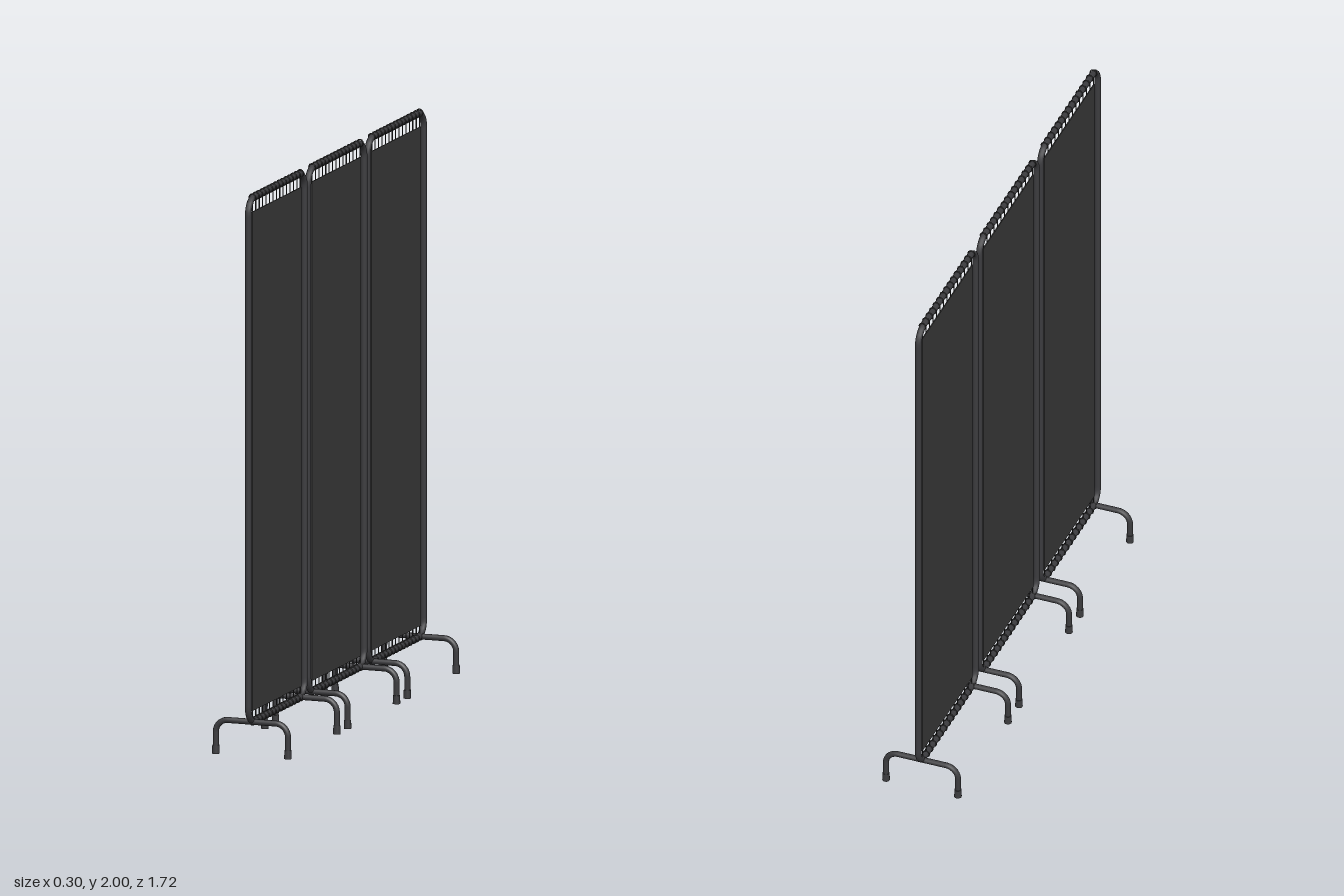
import * as THREE from 'three';

const TUBE = 0.0115;
const frameMat = new THREE.MeshStandardMaterial({ color: 0x3c3c3f });
const clothMat = new THREE.MeshStandardMaterial({ color: 0x3a3a3a });
const cordMat = new THREE.MeshStandardMaterial({ color: 0x303030 });

// Straight runs joined by rounded corners; points are [x, y, z]
function roundedPath(points, r) {
  const p = points.map((a) => new THREE.Vector3(...a));
  const path = new THREE.CurvePath();
  let last = p[0];
  for (let i = 1; i < p.length - 1; i++) {
    const a = p[i].clone().add(p[i - 1].clone().sub(p[i]).setLength(r));
    const b = p[i].clone().add(p[i + 1].clone().sub(p[i]).setLength(r));
    const k = 0.552; // circular-arc handle length
    path.add(new THREE.LineCurve3(last, a));
    path.add(new THREE.CubicBezierCurve3(a, a.clone().lerp(p[i], k), b.clone().lerp(p[i], k), b));
    last = b;
  }
  path.add(new THREE.LineCurve3(last, p[p.length - 1]));
  return path;
}

function add(parent, name, geometry, material, x = 0, y = 0, z = 0) {
  const mesh = new THREE.Mesh(geometry, material);
  mesh.name = name;
  mesh.position.set(x, y, z);
  parent.add(mesh);
  return mesh;
}

const BOTTOM = 0.122, TOP = 1.988, HALF = 0.272;
const CLOTH_BOTTOM = 0.16, CLOTH_TOP = 1.937, CLOTH_WIDTH = 0.476;

const frameGeo = new THREE.TubeGeometry(roundedPath([
  [0, BOTTOM, 0], [0, BOTTOM, HALF], [0, TOP, HALF],
  [0, TOP, -HALF], [0, BOTTOM, -HALF], [0, BOTTOM, 0],
], 0.055), 320, TUBE, 10, false);

const legGeo = new THREE.TubeGeometry(roundedPath([
  [-0.135, 0.004, 0], [-0.135, BOTTOM, 0], [0.135, BOTTOM, 0], [0.135, 0.004, 0],
], 0.045), 64, 0.0105, 10, false);

const footGeo = new THREE.CylinderGeometry(0.0125, 0.0135, 0.03, 12);
const clothGeo = new THREE.BoxGeometry(0.004, CLOTH_TOP - CLOTH_BOTTOM, CLOTH_WIDTH);
const loopGeo = new THREE.TorusGeometry(TUBE + 0.001, 0.0022, 6, 14);

// Lacing cords tying one edge of the cloth to a frame rail
function lacing(name, railY, edgeY) {
  const group = new THREE.Group();
  group.name = name;
  const length = Math.abs(railY - edgeY);
  const cordGeo = new THREE.CylinderGeometry(0.002, 0.002, length, 6);
  const count = 15;
  for (let i = 0; i < count; i++) {
    const z = (i / (count - 1) - 0.5) * (CLOTH_WIDTH - 0.012);
    add(group, 'cord', cordGeo, cordMat, 0, (railY + edgeY) / 2, z);
    add(group, 'cordLoop', loopGeo, cordMat, 0, railY, z);
  }
  return group;
}

function makePanel() {
  const panel = new THREE.Group();
  add(panel, 'frame', frameGeo, frameMat);
  add(panel, 'cloth', clothGeo, clothMat, 0, (CLOTH_TOP + CLOTH_BOTTOM) / 2, 0);
  panel.add(lacing('topLacing', TOP, CLOTH_TOP), lacing('bottomLacing', BOTTOM, CLOTH_BOTTOM));

  // Two arched legs, each with a pair of rubber feet
  for (const z of [-0.237, 0.237]) {
    const leg = new THREE.Group();
    leg.name = 'leg';
    leg.position.z = z;
    add(leg, 'legTube', legGeo, frameMat);
    for (const x of [-0.135, 0.135]) add(leg, 'foot', footGeo, frameMat, x, 0.015, 0);
    panel.add(leg);
  }
  return panel;
}

export function createModel() {
  const model = new THREE.Group();
  model.name = 'foldingScreen';
  ['backPanel', 'middlePanel', 'frontPanel'].forEach((name, i) => {
    const panel = makePanel();
    panel.name = name;
    panel.position.z = (i - 1) * 0.578;
    model.add(panel);
  });
  return model;
}
